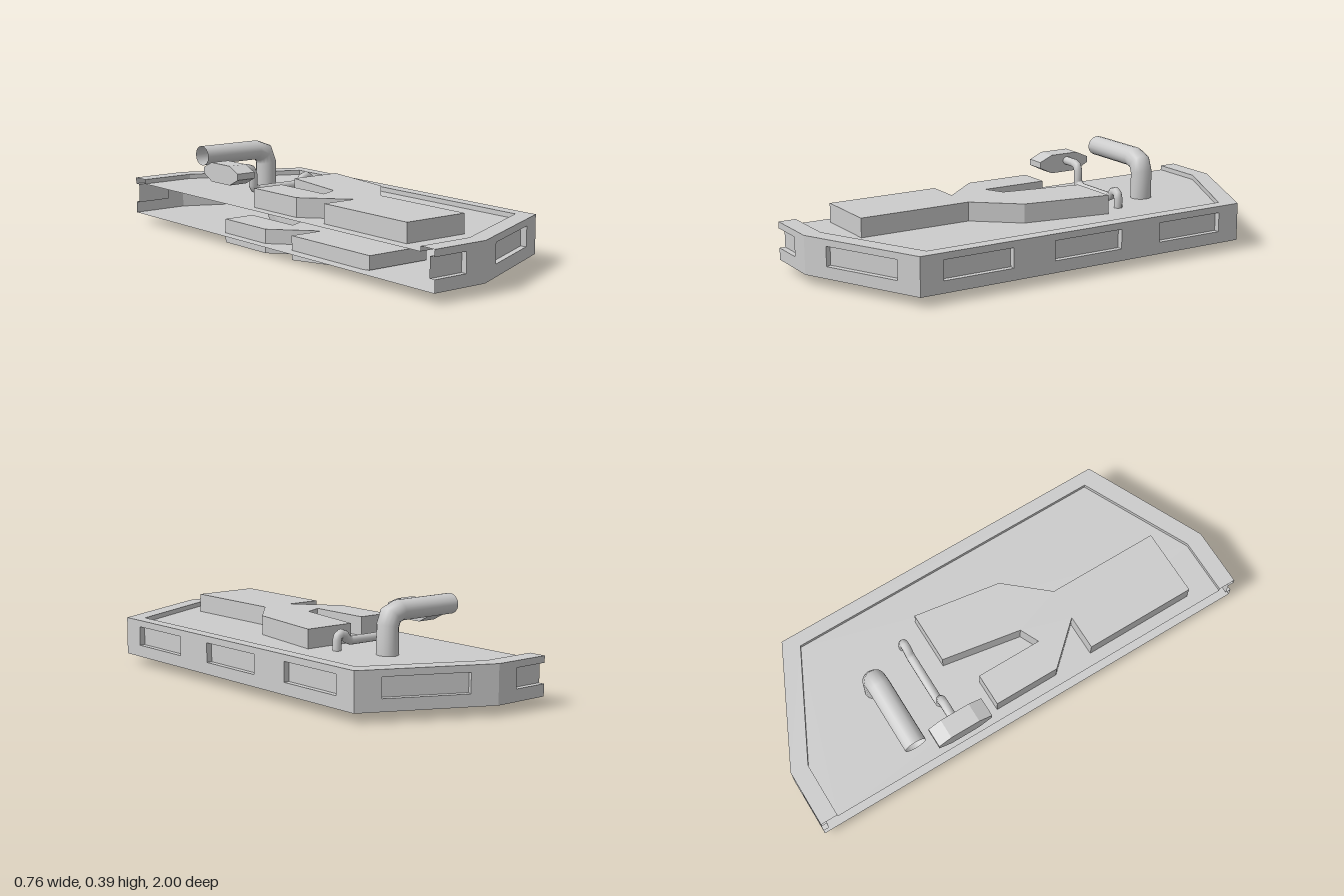
import * as THREE from 'three';

const material = new THREE.MeshStandardMaterial({ color: 0xcccccc, side: THREE.DoubleSide });

function part(name, geometry) {
  const mesh = new THREE.Mesh(geometry, material);
  mesh.name = name;
  return mesh;
}

const shapeOf = (pts) => new THREE.Shape(pts.map(([a, b]) => new THREE.Vector2(a, b)));

// Plan outline (x, z) laid flat at height y; depth > 0 extrudes it downward
function plan(pts, y, depth = 0) {
  const shape = shapeOf(pts);
  const g = depth
    ? new THREE.ExtrudeGeometry(shape, { depth, bevelEnabled: false })
    : new THREE.ShapeGeometry(shape);
  return g.rotateX(Math.PI / 2).translate(0, y, 0);
}

// Flat-shaded surface from a list of four-cornered faces
function quadGeometry(quads) {
  const pos = [];
  for (const [a, b, c, d] of quads) pos.push(...a, ...b, ...c, ...a, ...c, ...d);
  const g = new THREE.BufferGeometry();
  g.setAttribute('position', new THREE.Float32BufferAttribute(pos, 3));
  g.computeVertexNormals();
  return g;
}

// Wall from p to q (x, z) with a shallow pocket between lengths s0 and s1
function pocketWall(p, q, s0, s1) {
  const length = Math.hypot(q[0] - p[0], q[1] - p[1]);
  const ux = (q[0] - p[0]) / length, uz = (q[1] - p[1]) / length;
  const at = (s, y, d = 0) => [p[0] + ux * s + uz * d, y, p[1] + uz * s - ux * d];
  const face = (a, b, y0, y1, d = 0) => [at(a, y0, d), at(b, y0, d), at(b, y1, d), at(a, y1, d)];
  const lo = 0.09, hi = 0.172, deep = 0.025;
  const quads = [
    face(0, length, BOTTOM, lo), face(0, length, hi, RIM), face(s0, s1, lo, hi, deep),
    [at(s0, lo), at(s1, lo), at(s1, lo, deep), at(s0, lo, deep)],
    [at(s0, hi, deep), at(s1, hi, deep), at(s1, hi), at(s0, hi)],
  ];
  if (s0 > 0) quads.push(face(0, s0, lo, hi), [at(s0, lo), at(s0, lo, deep), at(s0, hi, deep), at(s0, hi)]);
  if (s1 < length) quads.push(face(s1, length, lo, hi), [at(s1, lo, deep), at(s1, lo), at(s1, hi), at(s1, hi, deep)]);
  return quadGeometry(quads);
}

// Open pipe swept along (x, y) points with mitred bends
function pipe(points, z, r, rz, sides) {
  const pts = points.map(([x, y]) => new THREE.Vector2(x, y));
  const pos = [], index = [];
  pts.forEach((p, i) => {
    const before = p.clone().sub(pts[Math.max(i - 1, 0)]).normalize();
    const after = pts[Math.min(i + 1, pts.length - 1)].clone().sub(p).normalize();
    const t = before.clone().add(after).normalize();
    const end = i === 0 || i === pts.length - 1;
    const k = end ? r : r / t.dot(after);
    for (let j = 0; j < sides; j++) {
      const a = (j / sides) * Math.PI * 2;
      pos.push(p.x - t.y * k * Math.cos(a), p.y + t.x * k * Math.cos(a), z + rz * Math.sin(a));
      if (i > 0) {
        const n = (j + 1) % sides, A = (i - 1) * sides, B = i * sides;
        index.push(A + j, A + n, B + n, A + j, B + n, B + j);
      }
    }
  });
  const g = new THREE.BufferGeometry();
  g.setAttribute('position', new THREE.Float32BufferAttribute(pos, 3));
  g.setIndex(index);
  g.computeVertexNormals();
  return g;
}

const BOTTOM = 0.04, RIM = 0.2, FLOOR = 0.18;

const OUTER = [[-0.38, 1], [-0.13, 1], [0.378, 0.76], [0.378, -0.76], [-0.13, -1], [-0.38, -1]];
const INNER = [[-0.38, 0.925], [-0.14, 0.925], [0.322, 0.702], [0.322, -0.702], [-0.14, -0.925], [-0.38, -0.925]];

const FORK = [
  [-0.33, 0.795], [-0.042, 0.795], [-0.042, 0.31], [0.109, 0.135], [0.168, -0.24], [-0.057, -0.24],
  [-0.115, 0.10], [-0.195, 0.138], [-0.195, -0.148], [-0.335, -0.148], [-0.335, 0.138], [-0.18, 0.31], [-0.33, 0.31],
];

export function createModel() {
  const model = new THREE.Group();
  model.name = 'halfPlatform';

  // Hull: open along its straight cut edge
  const hull = new THREE.Group();
  hull.name = 'hull';
  hull.add(part('bottomPlate', plan(OUTER, BOTTOM)));
  hull.add(part('deck', plan(INNER, FLOOR)));
  hull.add(part('rim', plan([...OUTER, ...[...INNER].reverse()], RIM)));
  const lip = INNER.slice(1).map(([x, z], i) => {
    const [px, pz] = INNER[i];
    return [[x, FLOOR, z], [px, FLOOR, pz], [px, RIM, pz], [x, RIM, z]];
  });
  hull.add(part('rimLip', quadGeometry(lip)));

  // Outer walls, the long side split into three bays
  const [a, b, c, d, e, f] = OUTER;
  const m1 = [0.378, 0.25], m2 = [0.378, -0.25];
  const walls = [
    [a, b, 0, 0.155], [b, c, 0.11, 0.455],
    [c, m1, 0.10, 0.41], [m1, m2, 0.09, 0.41], [m2, d, 0.10, 0.41],
    [d, e, 0.107, 0.452], [e, f, 0.095, 0.25],
  ];
  for (const w of walls) hull.add(part('pocketWall', pocketWall(...w)));
  model.add(hull);

  // Raised forked block on the deck
  model.add(part('upperForkBlock', plan(FORK, 0.26, 0.09)));

  // Lower forked block, its underside tapered towards both ends
  const lower = plan(FORK, 0.1, 0.1).translate(0, 0, -0.21);
  const pos = lower.attributes.position;
  for (let i = 0; i < pos.count; i++) {
    if (pos.getY(i) > 0.05) continue;
    const z = pos.getZ(i);
    if (z > 0.11) pos.setY(i, (z - 0.1) * 0.09);
    if (z < -0.42) pos.setZ(i, z + 0.06);
  }
  lower.computeVertexNormals();
  model.add(part('lowerForkBlock', lower));

  // Large elbow pipe
  model.add(part('largePipe', pipe(
    [[-0.335, 0.35], [-0.055, 0.35], [-0.012, 0.334], [0.003, 0.295], [0.003, FLOOR]], -0.528, 0.042, 0.047, 16)));

  // Thin pipe running down from the control box and along the deck
  model.add(part('thinPipe', pipe(
    [[-0.3, 0.31], [-0.235, 0.31], [-0.213, 0.302], [-0.204, 0.28], [-0.204, 0.235], [-0.197, 0.22], [-0.175, 0.213],
      [0.03, 0.213], [0.05, 0.222], [0.062, 0.24], [0.08, 0.246], [0.094, 0.238], [0.1, 0.22], [0.1, FLOOR]],
    -0.338, 0.018, 0.019, 10)));

  // Eight-sided control box, profile in (z, y) extruded across x
  const box = new THREE.ExtrudeGeometry(shapeOf([
    [0.2, 0.29], [0.2, 0.316], [0.26, 0.342], [0.39, 0.342],
    [0.447, 0.316], [0.447, 0.29], [0.39, 0.261], [0.26, 0.261],
  ]), { depth: 0.084, bevelEnabled: false });
  box.rotateY(Math.PI / 2).translate(-0.38, 0, 0);
  model.add(part('controlBox', box));

  return model;
}
